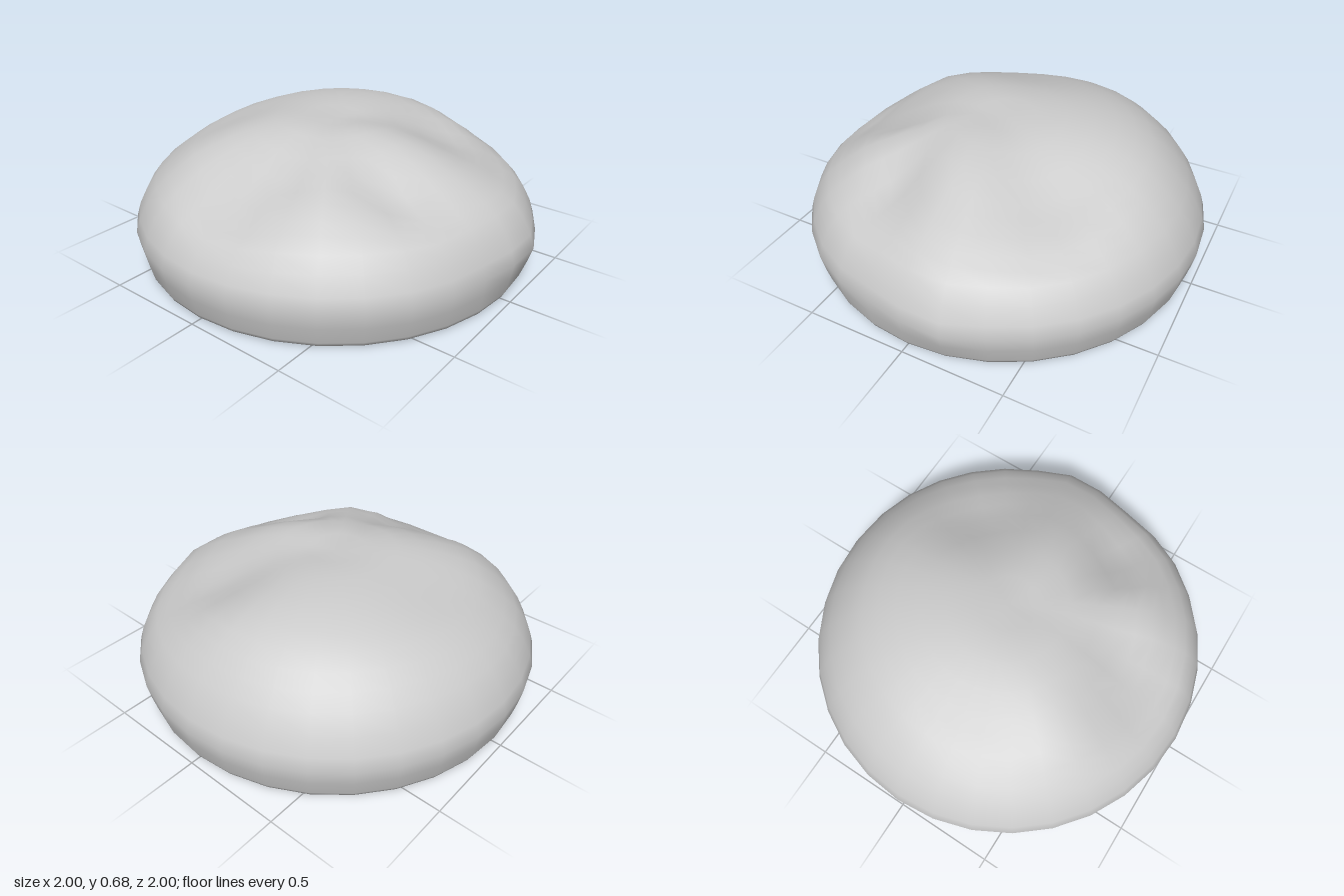
import * as THREE from 'three';
import { mergeVertices } from 'three/addons/utils/BufferGeometryUtils.js';

const SEGMENTS = 32;

// Undented crown: radius, height
const CROWN = [[0, 0.685], [0.14, 0.69], [0.29, 0.685], [0.42, 0.67], [0.53, 0.65], [0.62, 0.62],
  [0.7, 0.585], [0.77, 0.535], [0.83, 0.48], [0.89, 0.415], [0.94, 0.34], [0.98, 0.255], [1, 0.19]];

// Soft folds: x, z, spread x, spread z, height change
const FOLDS = [
  [-0.72, 0, 0.28, 0.3, -0.12],
  [-0.5, 0.14, 0.2, 0.13, -0.05],
  [-0.5, 0.5, 0.25, 0.22, -0.045],
  [-0.29, 0.55, 0.15, 0.23, -0.1],
  [0.1, 0.68, 0.5, 0.22, -0.065],
  [0.42, 0.38, 0.3, 0.28, -0.125],
  [-0.2, -0.58, 0.42, 0.26, -0.06],
  [0, 0.03, 0.16, 0.14, -0.025],
];

const bell = (d, width) => Math.exp(-((d / width) ** 2));

// Point on the cloth; folds fade out towards the widest edge
function clothPoint([r, y], angle, scale, drop) {
  const dent = 0.02 * bell(angle - 0.195, 0.08) - 0.025 * bell(angle - Math.PI * 2 + 0.25, 0.13);
  const outline = scale * (1 + dent * Math.min(1, y / 0.19));
  const x = r * Math.sin(angle), z = r * Math.cos(angle);
  const fade = y > 0.19 ? Math.min(1, (1 - r) / 0.18) : 0;
  let h = y - drop;
  for (const [fx, fz, sx, sz, amount] of FOLDS) {
    h += fade * amount * bell(x - fx, sx) * bell(z - fz, sz);
  }
  return [x * outline, h, z * outline];
}

// Closed-loop skin through a list of rings
function skin(name, rings, material) {
  const positions = [], index = [];
  for (const { profile, scale = 1, drop = 0 } of rings) {
    for (let j = 0; j < SEGMENTS; j++) {
      positions.push(...clothPoint(profile, (j / SEGMENTS) * Math.PI * 2, scale, drop));
    }
  }
  for (let i = 0; i < rings.length - 1; i++) {
    for (let j = 0; j < SEGMENTS; j++) {
      const k = (j + 1) % SEGMENTS;
      const a = i * SEGMENTS + j, b = a + SEGMENTS;
      const c = (i + 1) * SEGMENTS + k, d = i * SEGMENTS + k;
      index.push(a, b, c);
      if (rings[i].profile[0] > 0) index.push(a, c, d);
    }
  }
  let geometry = new THREE.BufferGeometry();
  geometry.setAttribute('position', new THREE.Float32BufferAttribute(positions, 3));
  geometry.setIndex(index);
  geometry = mergeVertices(geometry, 1e-5);
  geometry.computeVertexNormals();
  const mesh = new THREE.Mesh(geometry, material);
  mesh.name = name;
  return mesh;
}

export function createModel() {
  const group = new THREE.Group();
  group.name = 'softCap';
  const material = new THREE.MeshStandardMaterial({ color: 0xcccccc });

  // Outer cloth, down to the tucked-in lower edge
  const lower = [[0.985, 0.11], [0.965, 0.03], [0.955, 0.01], [0.94, 0]];
  group.add(skin('crown', [...CROWN, ...lower].map((profile) => ({ profile })), material));

  // Flat band around the opening
  group.add(skin('rim', [[0.94, 0], [0.89, 0]].map((profile) => ({ profile })), material));

  // Inner cloth follows the crown, a little smaller
  const inner = [...CROWN].reverse().map((profile) => ({
    profile, scale: 0.95, drop: 0.04 * Math.min(1, (1 - profile[0]) * 4),
  }));
  group.add(skin('lining', [{ profile: [0.89, 0] }, { profile: [0.925, 0.09] }, ...inner], material));
  return group;
}
